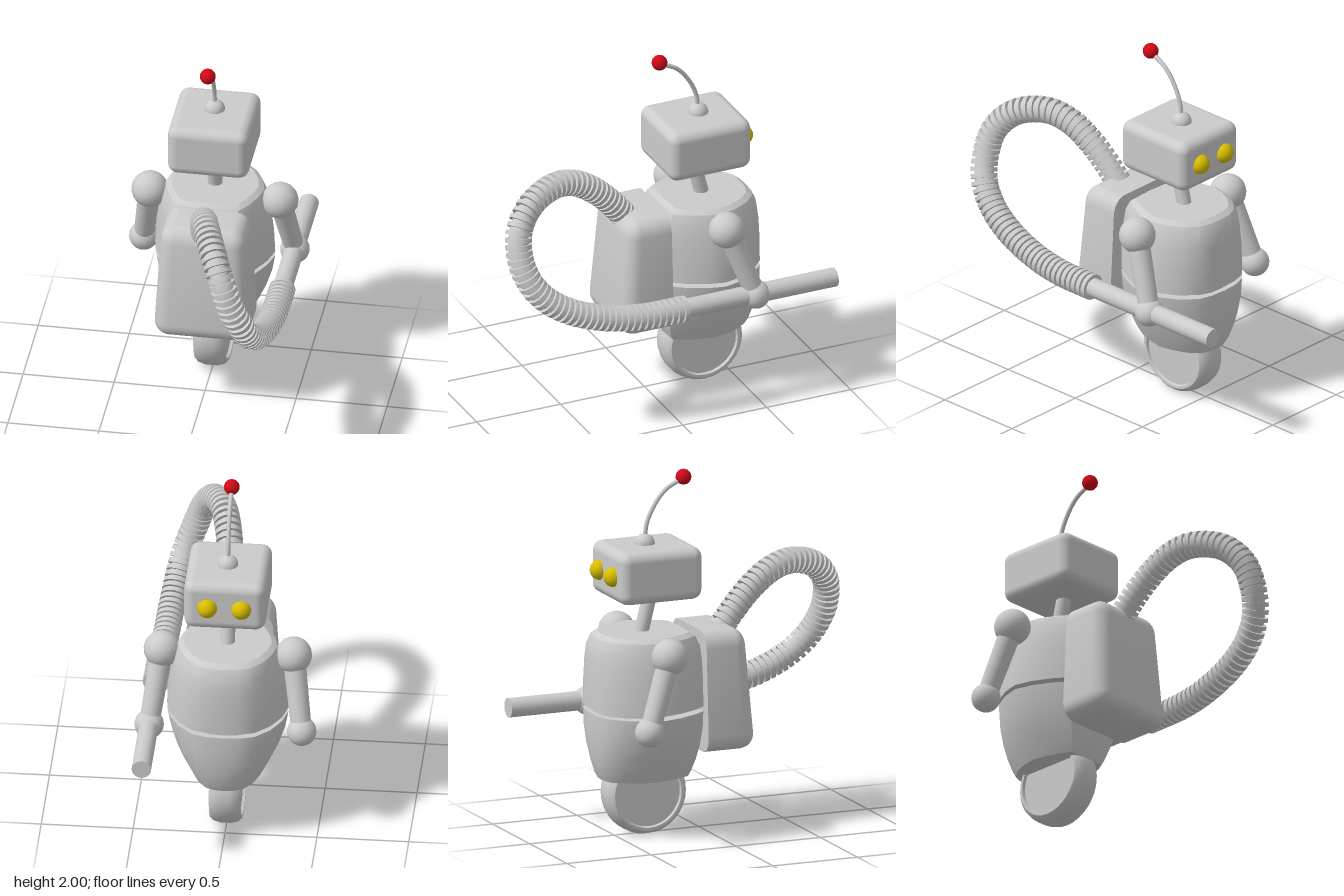
import * as THREE from 'three';
import { toCreasedNormals } from 'three/addons/utils/BufferGeometryUtils.js';
import { RoundedBoxGeometry } from 'three/addons/geometries/RoundedBoxGeometry.js';

const V = (x, y, z) => new THREE.Vector3(x, y, z);
const grey = new THREE.MeshStandardMaterial({ color: 0xcccccc });
const red = new THREE.MeshStandardMaterial({ color: 0xd00818 });
const yellow = new THREE.MeshStandardMaterial({ color: 0xd8be00 });

export function createModel() {
  const model = new THREE.Group();

  function add(name, geometry, pos = [0, 0, 0], material = grey, parent = model) {
    const mesh = new THREE.Mesh(geometry, material);
    mesh.name = name;
    mesh.position.set(...pos);
    parent.add(mesh);
    return mesh;
  }

  // cylinder running between two points
  function rod(name, a, b, ra, rb, parent = model) {
    const dir = b.clone().sub(a);
    const mesh = add(name, new THREE.CylinderGeometry(rb, ra, dir.length(), 20),
      a.clone().add(b).multiplyScalar(0.5).toArray(), grey, parent);
    mesh.quaternion.setFromUnitVectors(V(0, 1, 0), dir.normalize());
    return mesh;
  }

  // torso cross-section: half outline [x, z], mirrored to a full loop
  const half = [[0, -0.305], [0.09, -0.3], [0.17, -0.275], [0.25, -0.2], [0.305, -0.1],
    [0.33, 0], [0.305, 0.1], [0.25, 0.21], [0.2, 0.275], [0, 0.285]];
  const outline = half.concat(half.slice(1, -1).reverse().map(([x, z]) => [-x, z]));
  const bodyZ = -0.335;

  // levels: [y, x scale, z scale] from bottom to top
  function loft(levels) {
    const pos = [], idx = [], n = outline.length;
    for (const [y, sx, sz] of levels)
      for (const [x, z] of outline) pos.push(x * sx, y, z * sz);
    const bottom = n * levels.length, top = bottom + 1, last = n * (levels.length - 1);
    pos.push(0, levels[0][0], 0, 0, levels.at(-1)[0], 0);
    for (let i = 0; i < n; i++) {
      const j = (i + 1) % n;
      for (let k = 0; k < last; k += n)
        idx.push(k + i, k + n + i, k + j, k + j, k + n + i, k + n + j);
      idx.push(bottom, i, j, top, last + j, last + i);
    }
    const g = new THREE.BufferGeometry();
    g.setAttribute('position', new THREE.Float32BufferAttribute(pos, 3));
    g.setIndex(idx);
    return toCreasedNormals(g, 0.5);
  }

  // torso in two shells with a seam between them
  add('upperBody', loft([[0.72, 1, 1], [0.86, 0.98, 1], [0.98, 0.93, 0.99], [1.06, 0.88, 0.96],
    [1.11, 0.82, 0.88], [1.13, 0.73, 0.78]]), [0, 0, bodyZ]);
  add('lowerBody', loft([[0.32, 0.58, 0.8], [0.35, 0.63, 0.85], [0.42, 0.74, 0.92], [0.5, 0.85, 0.97],
    [0.6, 0.95, 1], [0.695, 1, 1]]), [0, 0, bodyZ]);
  add('bodyCore', loft([[0.65, 0.74, 0.9], [0.76, 0.74, 0.9]]), [0, 0, bodyZ]);

  // single wheel
  const tyre = [[0, -0.07], [0.185, -0.07], [0.19, -0.086], [0.205, -0.086], [0.222, -0.07], [0.233, -0.03]];
  const profile = tyre.concat(tyre.slice().reverse().map(([r, y]) => [r, -y]))
    .map(([r, y]) => new THREE.Vector2(r, y));
  const wheel = add('wheel', toCreasedNormals(new THREE.LatheGeometry(profile, 32), 0.6), [0, 0.235, -0.328]);
  wheel.rotation.z = Math.PI / 2;

  // backpack: rounded box, cut flat against the torso and tapered toward the top
  const pack = new RoundedBoxGeometry(0.535, 0.67, 0.6, 4, 0.09);
  const p = pack.attributes.position;
  for (let i = 0; i < p.count; i++) {
    const t = p.getY(i) / 0.67 + 0.5;
    p.setX(i, p.getX(i) * (1 - 0.14 * t));
    p.setZ(i, Math.max(p.getZ(i), 0) * (1 - 0.18 * t));
  }
  add('backpack', toCreasedNormals(pack, 0.6), [0.013, 0.795, -0.05]);

  // neck and head
  rod('neck', V(0, 1.08, -0.35), V(0, 1.36, -0.28), 0.04, 0.04);
  add('head', new RoundedBoxGeometry(0.445, 0.29, 0.485, 3, 0.055), [0, 1.465, -0.305]);
  for (const s of [-1, 1])
    add(s > 0 ? 'leftEye' : 'rightEye', new THREE.SphereGeometry(0.055, 20, 14),
      [s * 0.093, 1.465, -0.545], yellow);

  // antenna bending backwards
  add('antennaBase', new THREE.SphereGeometry(0.056, 20, 14), [0, 1.61, -0.32]);
  const antenna = new THREE.CatmullRomCurve3([V(0, 1.62, -0.32), V(0, 1.72, -0.308),
    V(0, 1.82, -0.262), V(0, 1.9, -0.195), V(0, 1.955, -0.09)]);
  add('antennaStem', new THREE.TubeGeometry(antenna, 24, 0.012, 10));
  add('antennaTip', new THREE.SphereGeometry(0.043, 20, 14), [0, 1.96, -0.09], red);

  // arms
  for (const s of [-1, 1]) {
    const arm = new THREE.Group();
    arm.name = s > 0 ? 'leftArm' : 'rightArm';
    model.add(arm);
    const shoulder = V(s * 0.358, 1.055, -0.328), hand = V(s * 0.415, 0.66, -0.473);
    add('shoulder', new THREE.SphereGeometry(0.1, 24, 16), shoulder.toArray(), grey, arm);
    add('hand', new THREE.SphereGeometry(0.08, 24, 16), hand.toArray(), grey, arm);
    rod('limb', shoulder, hand, 0.062, 0.055, arm);
  }

  // nozzle pipe held in one hand
  rod('nozzle', V(0.415, 0.663, -0.05), V(0.415, 0.663, -0.945), 0.053, 0.053);

  // ribbed hose looping from the backpack to the nozzle
  const hose = new THREE.Group();
  hose.name = 'hose';
  model.add(hose);
  const path = new THREE.CatmullRomCurve3([V(0.015, 1.07, 0.12), V(0.025, 1.17, 0.2), V(0.045, 1.29, 0.32),
    V(0.07, 1.375, 0.45), V(0.105, 1.405, 0.58), V(0.17, 1.36, 0.75), V(0.23, 1.25, 0.85),
    V(0.285, 1.1, 0.87), V(0.335, 0.965, 0.83), V(0.365, 0.855, 0.74), V(0.385, 0.765, 0.6),
    V(0.4, 0.695, 0.4), V(0.412, 0.667, 0.2), V(0.415, 0.663, -0.04)]);
  add('hoseCore', new THREE.TubeGeometry(path, 120, 0.054, 14), [0, 0, 0], grey, hose);
  const rib = new THREE.CylinderGeometry(0.073, 0.073, 0.024, 18);
  const ribs = Math.round(path.getLength() / 0.037);
  for (let i = 0; i <= ribs; i++) {
    const ring = add('hoseRib', rib, path.getPointAt(i / ribs).toArray(), grey, hose);
    ring.quaternion.setFromUnitVectors(V(0, 1, 0), path.getTangentAt(i / ribs));
  }

  return model;
}
